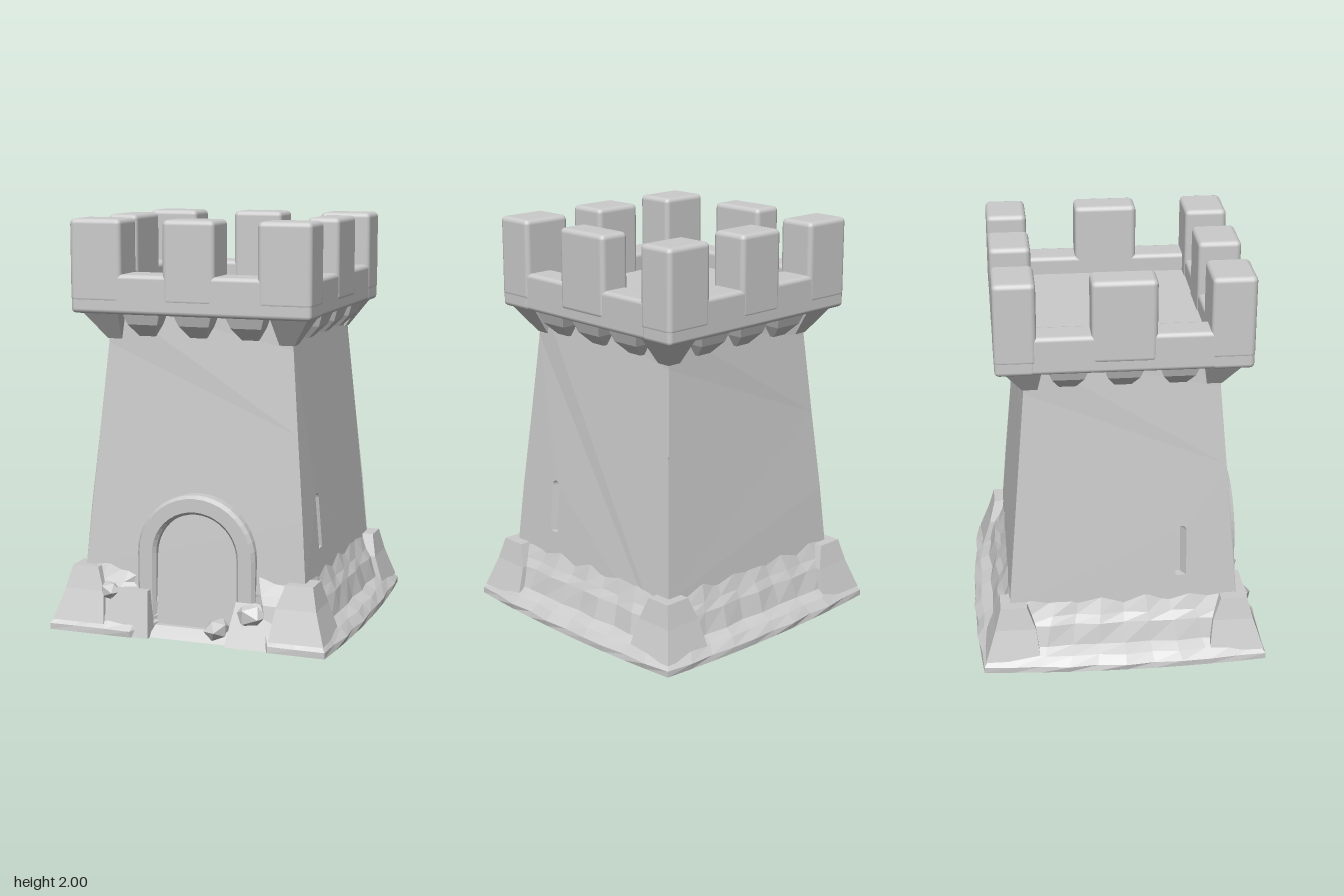
import * as THREE from 'three';
import { RoundedBoxGeometry } from 'three/addons/geometries/RoundedBoxGeometry.js';

const flat = new THREE.MeshStandardMaterial({ color: 0xcccccc, flatShading: true });
const smooth = new THREE.MeshStandardMaterial({ color: 0xcccccc });

// Half width of the tower body at each height
const PROFILE = [[0, 0.585], [0.3, 0.563], [0.6, 0.54], [1.0, 0.503], [1.4, 0.468], [1.6, 0.46]];
function half(y) {
  for (let i = 1; i < PROFILE.length; i++) {
    const [y0, h0] = PROFILE[i - 1], [y1, h1] = PROFILE[i];
    if (y <= y1) return h0 + (h1 - h0) * (y - y0) / (y1 - y0);
  }
  return PROFILE[PROFILE.length - 1][1];
}

function add(parent, name, geometry, material = flat) {
  const mesh = new THREE.Mesh(geometry, material);
  mesh.name = name;
  parent.add(mesh);
  return mesh;
}

// Move every vertex by a rule
function warp(geometry, rule) {
  const p = geometry.attributes.position, v = new THREE.Vector3();
  for (let i = 0; i < p.count; i++) {
    v.fromBufferAttribute(p, i);
    rule(v);
    p.setXYZ(i, v.x, v.y, v.z);
  }
  geometry.computeVertexNormals();
  return geometry;
}

// Box given by its limits, with softened edges
function softBlock(parent, name, x0, x1, y0, y1, z0, z1, r = 0.022) {
  const g = new RoundedBoxGeometry(x1 - x0, y1 - y0, z1 - z0, 2, r);
  g.translate((x0 + x1) / 2, (y0 + y1) / 2, (z0 + z1) / 2);
  return add(parent, name, g, smooth);
}

// Hexahedron from a lower and an upper rectangle [x0, x1, z0, z1]
function taperBlock(parent, name, y0, y1, low, high) {
  const g = warp(new THREE.BoxGeometry(1, 1, 1), v => {
    const r = v.y < 0 ? low : high;
    v.set(v.x < 0 ? r[0] : r[1], v.y < 0 ? y0 : y1, v.z < 0 ? r[2] : r[3]);
  });
  return add(parent, name, g);
}

// Closed skin through rings of equal point count, listed upwards
function loft(rings) {
  const n = rings[0].length, pos = rings.flat(2), idx = [];
  for (let r = 0; r < rings.length - 1; r++) {
    for (let i = 0; i < n; i++) {
      const a = r * n + i, b = r * n + (i + 1) % n;
      idx.push(a, a + n, b, b, a + n, b + n);
    }
  }
  const last = rings.length - 1;
  const low = pos.length / 3, high = low + 1;
  pos.push(0, rings[0][0][1], 0, 0, rings[last][0][1], 0);
  for (let i = 0; i < n; i++) {
    const j = (i + 1) % n;
    idx.push(low, i, j, high, last * n + j, last * n + i);
  }
  const g = new THREE.BufferGeometry();
  g.setAttribute('position', new THREE.Float32BufferAttribute(pos, 3));
  g.setIndex(idx);
  g.computeVertexNormals();
  return g;
}

// One mitred wall of the body, optionally pierced by a slit at u
function wallGeometry(slitU) {
  const D = 0.08;
  const right = PROFILE.map(([y, h]) => new THREE.Vector2(h, y));
  const left = right.map(p => new THREE.Vector2(-p.x, p.y)).reverse();
  const shape = new THREE.Shape([...right, ...left]);
  if (slitU !== undefined) {
    const w = 0.026;
    const hole = new THREE.Path();
    hole.moveTo(slitU - w, 0.42);
    hole.lineTo(slitU - w, 0.66);
    hole.absarc(slitU, 0.66, w, Math.PI, 0, true);
    hole.lineTo(slitU + w, 0.42);
    hole.closePath();
    shape.holes.push(hole);
  }
  const g = new THREE.ExtrudeGeometry(shape, { depth: D, bevelEnabled: false, curveSegments: 4 });
  return warp(g, v => {
    const h = half(v.y), z = v.z - D + h;
    v.x *= z / h;
    v.z = z;
  });
}

export function createModel() {
  const tower = new THREE.Group();
  tower.name = 'castleTower';

  // Body: four leaning walls around a core, arrow slits on both flanks
  const body = new THREE.Group();
  body.name = 'body';
  tower.add(body);
  [['frontWall', 0], ['leftWall', 1, -0.285], ['backWall', 2], ['rightWall', 3, 0.285]].forEach(([name, turn, u]) => {
    add(body, name, wallGeometry(u)).rotation.y = turn * Math.PI / 2;
  });
  const square = (h, y) => [[h, y, h], [h, y, -h], [-h, y, -h], [-h, y, h]].reverse();
  add(body, 'core', loft(PROFILE.map(([y, h]) => square(h - 0.045, y + 0.002))));

  // Plinth: worn sloping base, bulging mid-side and cut away at the door
  const N = 10;
  const levels = [[0, 0.7], [0.03, 0.7], [0.07, 0.665], [0.1, 0.645], [0.2, 0.615], [0.24, 0.59], [0.32, 0.555]];
  const rings = levels.map(([y, h], k) => {
    const ring = [];
    for (let s = 0; s < 4; s++) {
      for (let i = 0; i < N; i++) {
        const t = -1 + 2 * i / N;
        const bulge = k < 3 ? 0.035 * (1 - t * t) : 0;
        const wear = k > 0 && i > 0 ? 0.008 * Math.sin(i * 2.7 + s * 1.9 + k * 0.8) : 0;
        let u = t * h, out = h + (s === 0 ? 0 : bulge) + wear;
        if (s === 0 && u > -0.24 && u < 0.3) out = 0.53;
        const a = s * Math.PI / 2, c = Math.cos(a), d = Math.sin(a);
        ring.push([u * c + out * d, y, out * c - u * d]);
      }
    }
    return ring.reverse();
  });
  add(tower, 'plinth', loft(rings));

  // Corner stones on the plinth
  for (const sx of [-1, 1]) for (const sz of [-1, 1]) {
    const rect = (x0, x1, z0, z1) => [
      Math.min(sx * x0, sx * x1), Math.max(sx * x0, sx * x1),
      Math.min(sz * z0, sz * z1), Math.max(sz * z0, sz * z1)];
    taperBlock(tower, 'cornerStone', 0.05, 0.2, rect(0.42, 0.69, 0.42, 0.69), rect(0.44, 0.64, 0.44, 0.64));
    taperBlock(tower, 'cornerStoneTop', 0.2, 0.31, rect(0.44, 0.64, 0.44, 0.64), rect(0.48, 0.615, 0.48, 0.61));
    // Flared corner corbel under the parapet
    taperBlock(tower, 'cornerCorbel', 1.42, 1.57, rect(0.4, 0.472, 0.4, 0.472), rect(0.38, 0.575, 0.38, 0.575));
  }

  // Arched door surround
  const arch = (path, r, base) => {
    path.moveTo(0.02 + r, base);
    path.lineTo(0.02 + r, 0.4);
    path.absarc(0.02, 0.4, r, 0, Math.PI, false);
    path.lineTo(0.02 - r, base);
  };
  const surround = new THREE.Shape();
  arch(surround, 0.285, 0.02);
  surround.lineTo(-0.2, 0.02);
  surround.lineTo(-0.2, 0.4);
  surround.absarc(0.02, 0.4, 0.22, Math.PI, 0, true);
  surround.lineTo(0.24, 0.02);
  surround.closePath();
  const surroundGeometry = new THREE.ExtrudeGeometry(surround, {
    depth: 0.1, curveSegments: 10, bevelSize: 0.015, bevelThickness: 0.02, bevelSegments: 1 });
  surroundGeometry.translate(0, 0, 0.48);
  add(tower, 'doorSurround', surroundGeometry);

  // Doorstep and broken stones beside the entrance
  taperBlock(tower, 'doorstep', 0, 0.05, [-0.2, 0.26, 0.5, 0.66], [-0.18, 0.24, 0.5, 0.61]);
  taperBlock(tower, 'fallenBlock', 0, 0.22, [-0.45, -0.19, 0.5, 0.69], [-0.38, -0.21, 0.5, 0.635]);
  taperBlock(tower, 'fallenBlock', 0, 0.2, [0.2, 0.5, 0.5, 0.69], [0.23, 0.42, 0.5, 0.6]);
  for (const [x, y, z, r] of [[0.14, 0.06, 0.61, 0.07], [0.3, 0.14, 0.6, 0.08], [-0.42, 0.2, 0.61, 0.06]]) {
    const rock = add(tower, 'rubble', new THREE.IcosahedronGeometry(r, 0));
    rock.position.set(x, y, z);
    rock.scale.set(1.2, 0.8, 0.8);
    rock.rotation.y = x * 9;
  }

  // Corbels below the parapet, three on each side
  for (let s = 0; s < 4; s++) {
    const side = new THREE.Group();
    side.name = 'corbels';
    side.rotation.y = s * Math.PI / 2;
    tower.add(side);
    for (const u of [-0.26, 0, 0.26]) {
      taperBlock(side, 'corbel', 1.44, 1.5, [u - 0.04, u + 0.04, 0.42, 0.49], [u - 0.075, u + 0.075, 0.42, 0.55]);
      taperBlock(side, 'corbelHead', 1.5, 1.57, [u - 0.075, u + 0.075, 0.42, 0.55], [u - 0.1, u + 0.1, 0.42, 0.575]);
    }
  }

  // Parapet walls and roof deck
  softBlock(tower, 'parapetFront', -0.61, 0.59, 1.55, 1.74, 0.4, 0.6);
  softBlock(tower, 'parapetBack', -0.61, 0.59, 1.55, 1.74, -0.6, -0.41);
  softBlock(tower, 'parapetRight', -0.608, -0.46, 1.552, 1.738, -0.58, 0.58);
  softBlock(tower, 'parapetLeft', 0.43, 0.588, 1.552, 1.738, -0.58, 0.58);
  const deck = add(tower, 'roofDeck', new THREE.BoxGeometry(1.0, 0.09, 0.92));
  deck.position.set(-0.01, 1.605, -0.005);

  // Merlons: front and back rows of three, one in the middle of each flank
  for (const [z0, z1] of [[0.395, 0.602], [-0.602, -0.405]]) {
    for (const [x0, x1] of [[-0.612, -0.35], [-0.14, 0.12], [0.33, 0.592]]) {
      softBlock(tower, 'merlon', x0, x1, 1.6, 2, z0, z1, 0.025);
    }
  }
  softBlock(tower, 'merlon', -0.612, -0.455, 1.6, 2, -0.155, 0.15, 0.025);
  softBlock(tower, 'merlon', 0.43, 0.592, 1.6, 2, -0.155, 0.155, 0.025);

  return tower;
}
